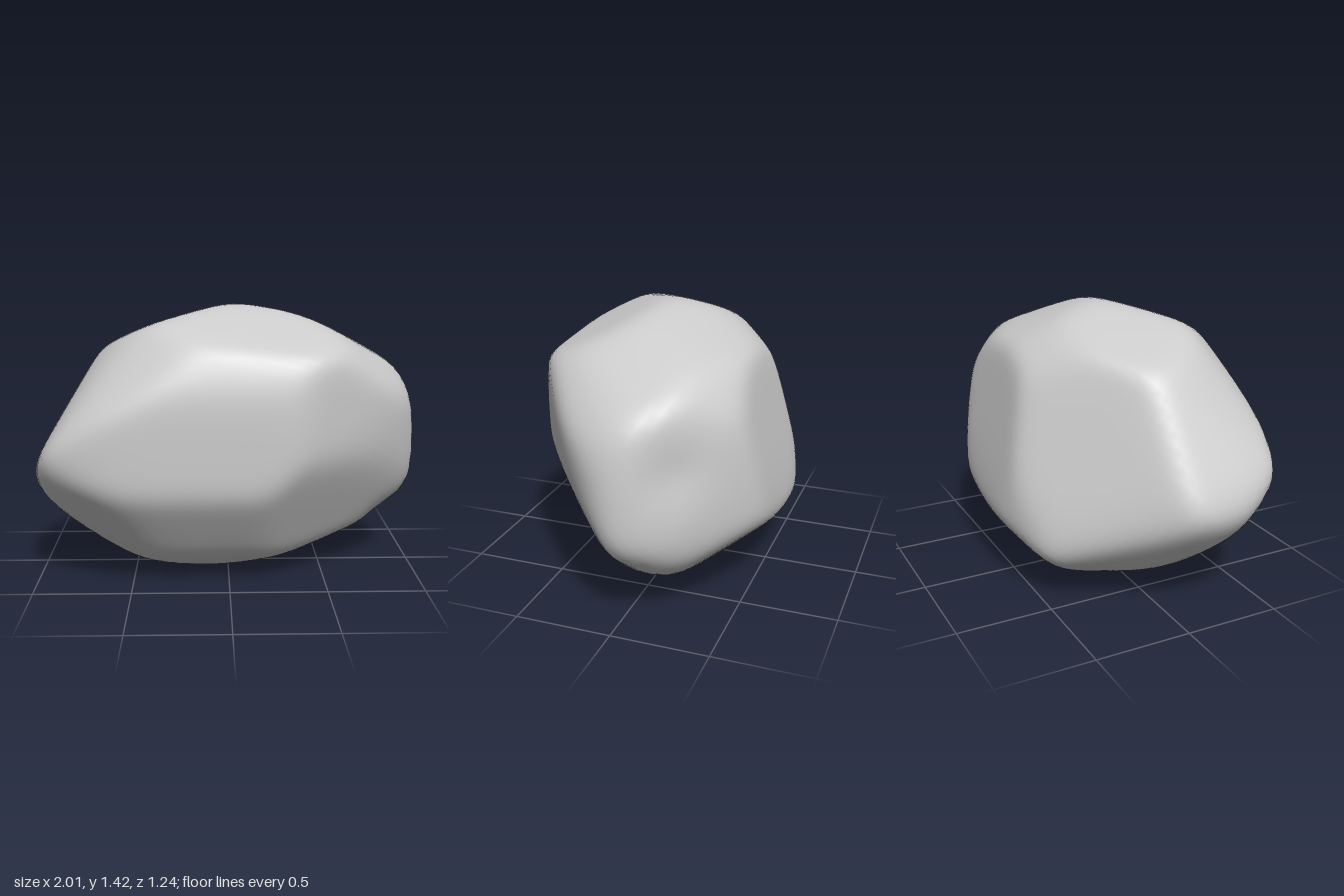
import * as THREE from 'three';
import { mergeVertices } from 'three/addons/utils/BufferGeometryUtils.js';

const SHARPNESS = 30; // how crisply neighbouring facets meet
const SWELL = 1.045; // makes up for what the blending rounds off

// Each edge of a convex outline (clockwise, [across, up] from the middle of the
// boulder, facing the given azimuth and elevation) cuts one facet.
// A facet is kept as its normal divided by its distance.
function facets(azimuth, elevation, outline) {
  const a = THREE.MathUtils.degToRad(azimuth), e = THREE.MathUtils.degToRad(elevation);
  const across = new THREE.Vector3(Math.cos(a), 0, -Math.sin(a));
  const up = new THREE.Vector3(-Math.sin(a) * Math.sin(e), Math.cos(e), -Math.cos(a) * Math.sin(e));
  return outline.map(([u, v], i) => {
    const [u2, v2] = outline[(i + 1) % outline.length];
    const nu = v - v2, nv = u2 - u;
    const distance = nu * u + nv * v;
    return across.clone().multiplyScalar(nu / distance).addScaledVector(up, nv / distance);
  });
}

// Profiles along the three axes, then along three diagonals
function boulderFacets() {
  return [
    ...facets(0, 0, [[-1.01, -0.15], [-0.57, 0.6], [-0.34, 0.7], [0.19, 0.73], [0.7, 0.6], [0.9, 0.38],
      [1, 0.05], [0.99, -0.25], [0.78, -0.48], [0.1, -0.72], [-0.3, -0.72], [-0.73, -0.52]]),
    ...facets(90, 0, [[-0.62, -0.15], [-0.62, 0.26], [-0.5, 0.56], [-0.15, 0.71], [0.15, 0.73], [0.43, 0.55],
      [0.62, -0.32], [0.28, -0.68], [-0.25, -0.72]]),
    ...facets(0, 90, [[-1.01, -0.05], [-0.48, 0.5], [-0.13, 0.615], [0.44, 0.58], [0.86, 0.29], [1, 0],
      [0.87, -0.25], [0.32, -0.6], [-0.6, -0.6], [-0.97, -0.49]]),
    ...facets(45, 20, [[-1.04, 0.07], [-0.53, 0.59], [0.1, 0.67], [0.55, 0.48], [0.74, 0.23], [0.81, -0.42],
      [0.6, -0.62], [-0.15, -0.69], [-0.48, -0.57]]),
    ...facets(225, 20, [[-0.82, 0.02], [-0.76, 0.5], [-0.18, 0.72], [0.47, 0.59], [1.03, -0.04], [0.88, -0.41],
      [0.45, -0.66], [0, -0.71], [-0.36, -0.57], [-0.74, -0.26]]),
    ...facets(135, -20, [[-0.78, 0.37], [-0.5, 0.69], [0.2, 0.66], [0.43, 0.45], [0.71, -0.38], [0.38, -0.74],
      [0.12, -0.75], [-0.38, -0.56], [-0.73, 0.04]]),
  ];
}

// Distance from the middle to the blended facets along a direction
function reach(direction, planes) {
  let sum = 0;
  for (const plane of planes) sum += Math.max(0, direction.dot(plane)) ** SHARPNESS;
  return SWELL * sum ** (-1 / SHARPNESS);
}

// A shallow worn hollow around a spot
const hollow = (x, y, z, size, depth) => ({ spot: new THREE.Vector3(x, y, z), size, depth });
const hollows = [
  hollow(0.82, 0.08, -0.24, 0.15, 0.025),
  hollow(0.85, -0.44, 0.02, 0.11, 0.025),
];

function boulderGeometry() {
  const ball = new THREE.IcosahedronGeometry(1, 22);
  ball.deleteAttribute('normal');
  ball.deleteAttribute('uv');
  const geometry = mergeVertices(ball, 1e-4);

  const planes = boulderFacets();
  const position = geometry.attributes.position;
  const direction = new THREE.Vector3(), point = new THREE.Vector3();
  for (let i = 0; i < position.count; i++) {
    direction.fromBufferAttribute(position, i).normalize();
    point.copy(direction).multiplyScalar(reach(direction, planes));
    let wear = 0;
    for (const { spot, size, depth } of hollows) {
      wear += depth * Math.exp(-point.distanceToSquared(spot) / (size * size));
    }
    point.addScaledVector(direction, -wear);
    position.setXYZ(i, point.x, point.y, point.z);
  }

  // Rest on the ground, centred
  geometry.computeBoundingBox();
  const { min, max } = geometry.boundingBox;
  geometry.translate(-(min.x + max.x) / 2, -min.y, -(min.z + max.z) / 2);
  geometry.computeVertexNormals();
  return geometry;
}

export function createModel() {
  const group = new THREE.Group();
  group.name = 'rock';
  const boulder = new THREE.Mesh(boulderGeometry(), new THREE.MeshStandardMaterial({ color: 0xcccccc }));
  boulder.name = 'boulder';
  group.add(boulder);
  return group;
}
